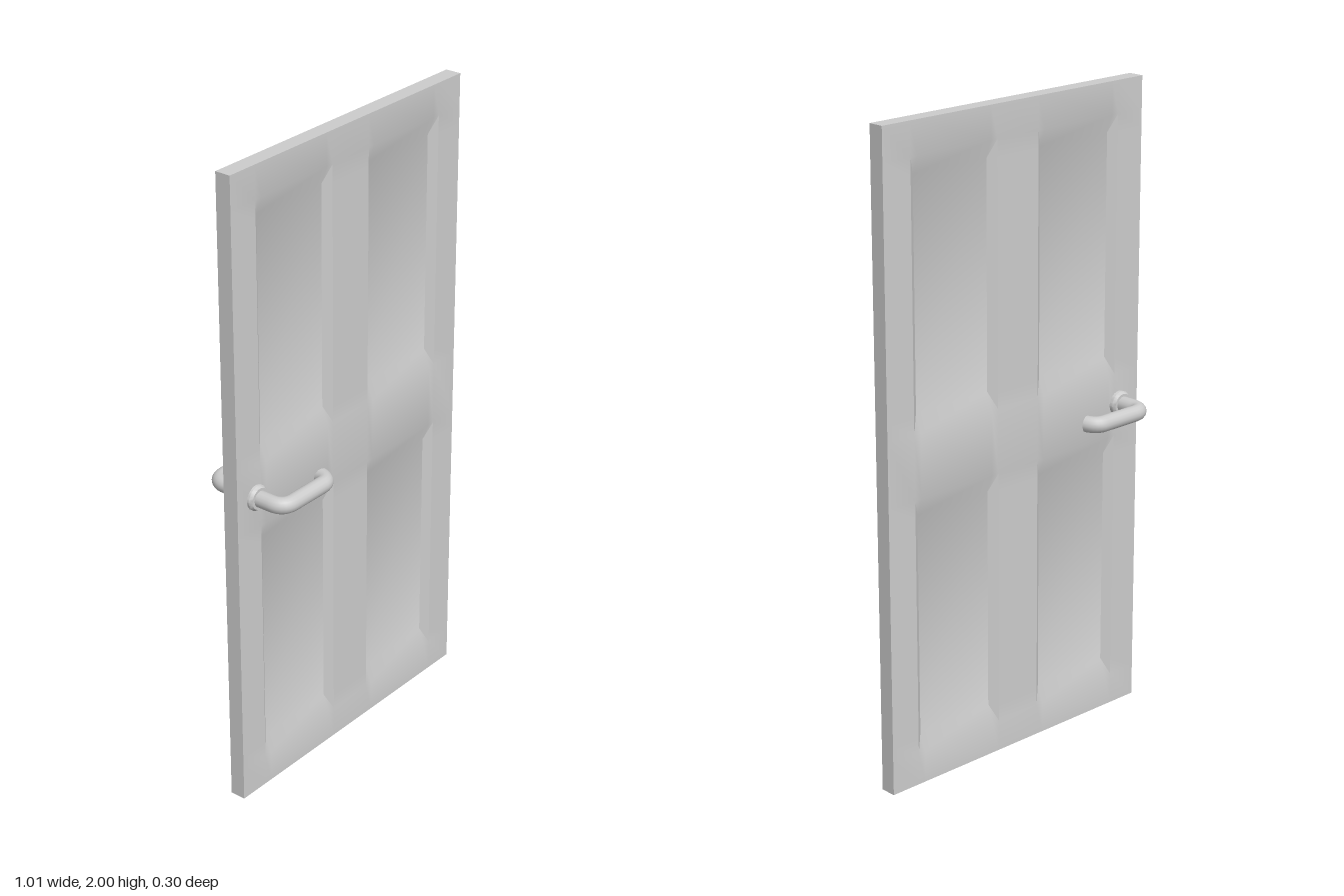
import * as THREE from 'three';
import { toCreasedNormals } from 'three/addons/utils/BufferGeometryUtils.js';

const W = 1.01, H = 2, T = 0.05, RECESS = 0.02;
const grey = () => new THREE.MeshStandardMaterial({ color: 0xcccccc });

function addMesh(parent, name, geometry) {
  const mesh = new THREE.Mesh(geometry, grey());
  mesh.name = name;
  parent.add(mesh);
  return mesh;
}

// One door face: a grid whose inner panel corners are pushed in, giving bevelled recesses
function panelledFace() {
  const xs = [-0.505, -0.405, -0.38, -0.105, -0.08, 0.08, 0.105, 0.38, 0.405, 0.505];
  const ys = [0, 0.1, 0.155, 0.845, 0.9, 1.1, 1.155, 1.845, 1.9, 2];
  const inner = (k) => [2, 3, 6, 7].includes(k);
  const point = (i, j) => [xs[i], ys[j], T / 2 - (inner(i) && inner(j) ? RECESS : 0)];
  const pos = [];
  for (let i = 0; i < xs.length - 1; i++) {
    for (let j = 0; j < ys.length - 1; j++) {
      const a = point(i, j), b = point(i + 1, j), c = point(i + 1, j + 1), d = point(i, j + 1);
      // the mitre of each bevel corner follows the diagonal to the sunken point
      const sunkAC = a[2] < T / 2 || c[2] < T / 2;
      pos.push(...(sunkAC ? [a, b, c, a, c, d] : [a, b, d, b, c, d]).flat());
    }
  }
  const geo = new THREE.BufferGeometry();
  geo.setAttribute('position', new THREE.Float32BufferAttribute(pos, 3));
  return toCreasedNormals(geo, Math.PI / 7);
}

function createDoor() {
  const door = new THREE.Group();
  door.name = 'door';
  const face = panelledFace();
  addMesh(door, 'frontFace', face);
  addMesh(door, 'backFace', face).rotation.y = Math.PI;

  // narrow edges around the leaf
  for (const s of [-1, 1]) {
    const side = addMesh(door, s > 0 ? 'leftEdge' : 'rightEdge', new THREE.PlaneGeometry(T, H));
    side.position.set(s * W / 2, H / 2, 0);
    side.rotation.y = s * Math.PI / 2;
    const end = addMesh(door, s > 0 ? 'topEdge' : 'bottomEdge', new THREE.PlaneGeometry(W, T));
    end.position.y = s > 0 ? H : 0;
    end.rotation.x = -s * Math.PI / 2;
  }
  door.position.z = 0.002;
  return door;
}

function createHandle(name) {
  const handle = new THREE.Group();
  handle.name = name;

  // round rose with a chamfered rim
  const profile = [[0.039, 0.01], [0.039, 0.034], [0.033, 0.043], [0, 0.043]]
    .map(([r, y]) => new THREE.Vector2(r, y));
  const rose = addMesh(handle, 'rose', toCreasedNormals(new THREE.LatheGeometry(profile, 24), 0.6));
  rose.rotation.x = Math.PI / 2;
  rose.position.x = -0.425;

  // bent lever: stem, corner, grip and returned tip
  const v = (x, z) => new THREE.Vector3(x, 0, z);
  const path = new THREE.CurvePath();
  path.add(new THREE.LineCurve3(v(-0.425, 0.02), v(-0.425, 0.085)));
  path.add(new THREE.QuadraticBezierCurve3(v(-0.425, 0.085), v(-0.425, 0.127), v(-0.383, 0.127)));
  path.add(new THREE.LineCurve3(v(-0.383, 0.127), v(-0.25, 0.127)));
  path.add(new THREE.QuadraticBezierCurve3(v(-0.25, 0.127), v(-0.225, 0.125), v(-0.215, 0.093)));
  addMesh(handle, 'lever', new THREE.TubeGeometry(path, 40, 0.025, 16));

  // flat end of the lever
  const tip = addMesh(handle, 'leverTip', new THREE.CircleGeometry(0.025, 16));
  tip.position.copy(path.getPointAt(1));
  tip.quaternion.setFromUnitVectors(new THREE.Vector3(0, 0, 1), path.getTangentAt(1));

  handle.position.y = 1.002;
  return handle;
}

export function createModel() {
  const model = new THREE.Group();
  model.name = 'panelDoor';
  const back = createHandle('backHandle');
  back.rotation.x = Math.PI;
  model.add(createDoor(), createHandle('frontHandle'), back);
  return model;
}
